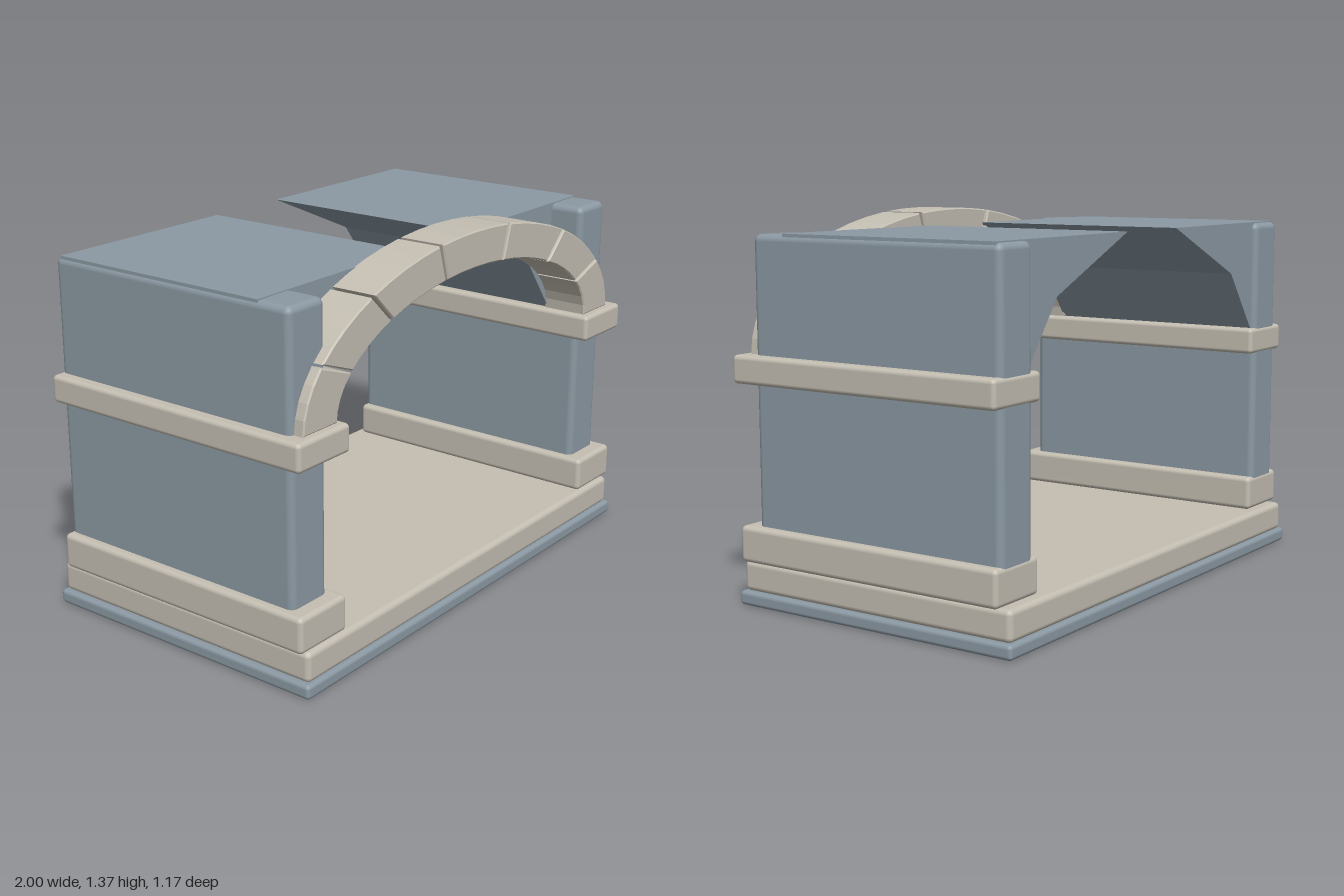
import * as THREE from 'three';
import { RoundedBoxGeometry } from 'three/addons/geometries/RoundedBoxGeometry.js';

const stone = new THREE.MeshStandardMaterial({ color: 0xc4beb2 });
stone.name = 'paleStone';
const slate = new THREE.MeshStandardMaterial({ color: 0x8b99a3 });
slate.name = 'blueGreyStone';

// Rounded block given by its extents on each axis
function block(name, material, [x0, x1], [y0, y1], [z0, z1], radius) {
  const geometry = new RoundedBoxGeometry(x1 - x0, y1 - y0, z1 - z0, 3, radius);
  const mesh = new THREE.Mesh(geometry, material);
  mesh.position.set((x0 + x1) / 2, (y0 + y1) / 2, (z0 + z1) / 2);
  mesh.name = name;
  return mesh;
}

// Outline in x and y, extruded from z0 to z1 with an optional small bevel
function prism(name, material, points, z0, z1, bevel = 0) {
  const shape = new THREE.Shape(points.map(([x, y]) => new THREE.Vector2(x, y)));
  const geometry = new THREE.ExtrudeGeometry(shape, {
    depth: z1 - z0 - 2 * bevel,
    bevelEnabled: bevel > 0,
    bevelSize: bevel,
    bevelThickness: bevel,
    bevelOffset: -bevel,
    bevelSegments: 1,
  });
  geometry.translate(0, 0, z0 + bevel);
  const mesh = new THREE.Mesh(geometry, material);
  mesh.name = name;
  return mesh;
}

// Elliptical arch cut into seven wedge stones with narrow joints
function createArch() {
  const arch = new THREE.Group();
  arch.name = 'arch';
  const count = 7, steps = 4, gap = 0.009, springY = 0.89;
  const at = (angle, a, b) => [a * Math.cos(angle), springY + b * Math.sin(angle)];
  for (let i = 0; i < count; i++) {
    const start = (i / count) * Math.PI + (i > 0 ? gap : 0);
    const end = ((i + 1) / count) * Math.PI - (i < count - 1 ? gap : 0);
    const outer = [], inner = [];
    for (let s = 0; s <= steps; s++) {
      const angle = start + ((end - start) * s) / steps;
      outer.push(at(angle, 0.94, 0.478));
      inner.unshift(at(angle, 0.77, 0.347));
    }
    arch.add(prism('archStone', stone, [...outer, ...inner], 0.36, 0.54, 0.005));
  }
  return arch;
}

export function createModel() {
  const model = new THREE.Group();
  model.name = 'stoneArchway';

  // Stepped base
  model.add(block('baseSlab', slate, [-0.98, 0.98], [0, 0.052], [-0.583, 0.583], 0.015));
  model.add(block('floorSlab', stone, [-0.965, 0.965], [0.05, 0.16], [-0.572, 0.572], 0.02));

  // Side walls with plinth, cap moulding and half-vault filling
  for (const side of [1, -1]) {
    const group = new THREE.Group();
    group.name = side > 0 ? 'leftSide' : 'rightSide';
    const span = (a, b) => (side > 0 ? [a, b] : [-b, -a]);
    group.add(block('wall', slate, span(0.78, 0.957), [0.16, 1.303], [-0.532, 0.502], 0.025));
    group.add(block('plinth', stone, span(0.75, 0.99), [0.16, 0.29], [-0.535, 0.562], 0.018));
    group.add(block('capMoulding', stone, span(0.74, 1), [0.79, 0.89], [-0.537, 0.57], 0.016));
    const profile = [[0.17, 1.307], [0.61, 1.115], [0.78, 0.89], [0.95, 0.89], [0.95, 1.307]];
    group.add(prism('vaultFilling', slate, profile.map(([x, y]) => [side * x, y]), -0.51, 0.37));
    model.add(group);
  }

  model.add(createArch());
  return model;
}
